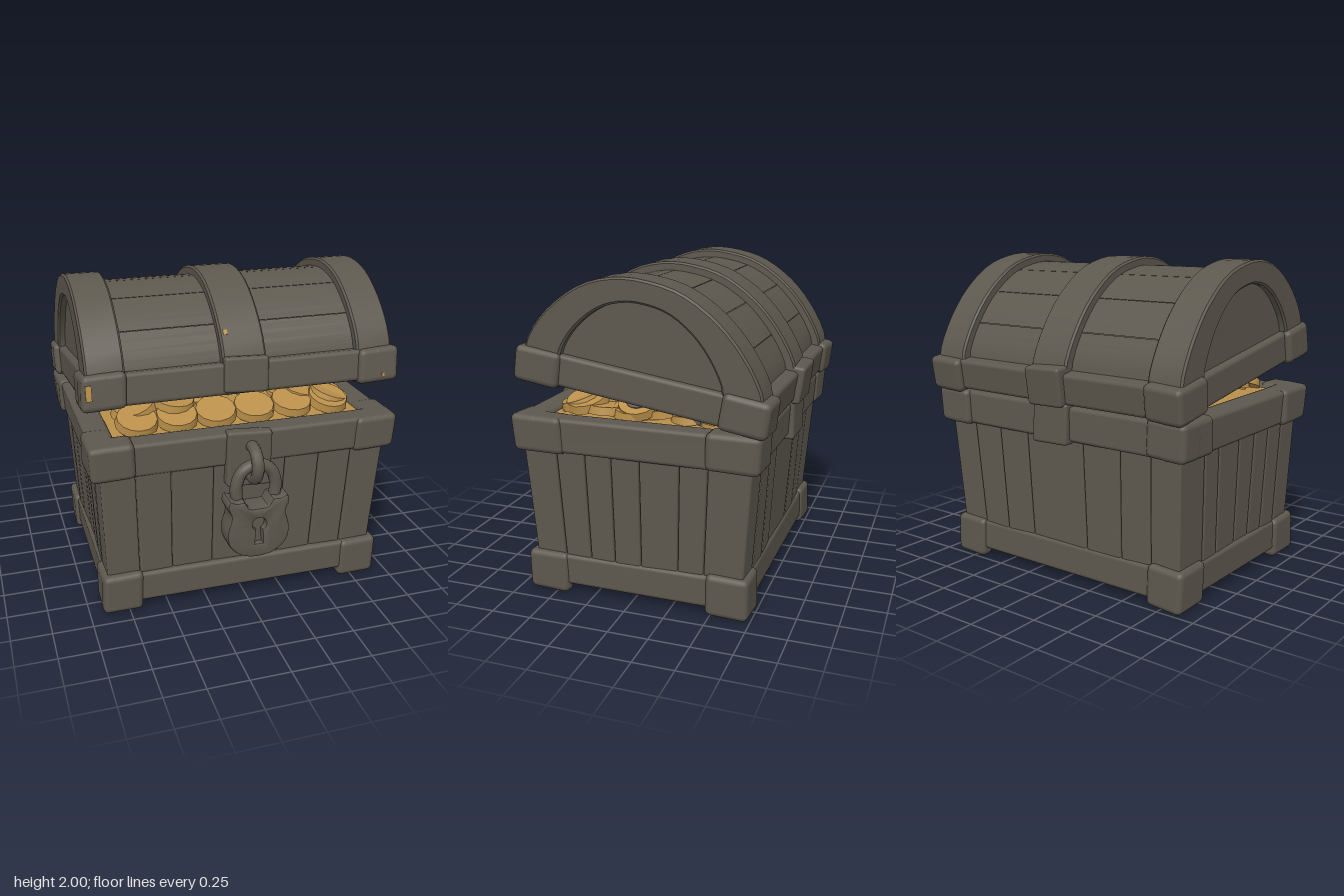
import * as THREE from 'three';
import { toCreasedNormals } from 'three/addons/utils/BufferGeometryUtils.js';
import { RoundedBoxGeometry } from 'three/addons/geometries/RoundedBoxGeometry.js';

const mat = (name, color) => Object.assign(new THREE.MeshStandardMaterial({ color }), { name });
const wood = mat('weatheredWood', 0x5d584e);
const gold = mat('gold', 0xb98f4a);
const dull = mat('tarnishedMetal', 0x675b56);
const Z0 = -0.04; // middle of the body in depth

let seed = 7;
const rand = () => (seed = (seed * 16807) % 2147483647) / 2147483647;

function add(parent, name, geo, material = wood) {
  const mesh = new THREE.Mesh(geo, material);
  mesh.name = name;
  parent.add(mesh);
  return mesh;
}

// Slightly uneven, hand-hewn surface
function wobble(geo, a = 0.006) {
  const p = geo.attributes.position;
  for (let i = 0; i < p.count; i++) {
    const x = p.getX(i), y = p.getY(i), z = p.getZ(i);
    p.setXYZ(i, x + a * Math.sin(9 * y + 7 * z), y + a * Math.sin(11 * x + 5 * z), z + a * Math.sin(8 * x + 6 * y));
  }
  return geo;
}

// Rounded box given by its bounds
function block(parent, name, x0, x1, y0, y1, z0, z1, r = 0.025, shape = null) {
  const w = x1 - x0, h = y1 - y0, d = z1 - z0;
  const geo = new RoundedBoxGeometry(w, h, d, 2, Math.min(r, w / 2.1, h / 2.1, d / 2.1));
  geo.translate((x0 + x1) / 2, (y0 + y1) / 2, (z0 + z1) / 2);
  if (shape) shape(geo);
  return add(parent, name, wobble(geo));
}

// The body widens towards the top
function flare(geo) {
  const p = geo.attributes.position;
  for (let i = 0; i < p.count; i++) {
    const t = p.getY(i) - 0.25;
    p.setX(i, p.getX(i) * (1 + 0.05 * t));
    p.setZ(i, Z0 + (p.getZ(i) - Z0) * (1 + 0.1 * t));
  }
}

// Boards on four sides with L-shaped corner pieces, open in the middle
function frame(parent, name, { x, z, zc, y0, y1, lift, inset, thick, cornerX, cornerZ, shape }) {
  const bx = x - inset, bz = z - inset, t = thick + inset;
  const span = (s, outer, inner, c = 0) => [c + s * outer, c + s * inner].sort((a, b) => a - b);
  for (const s of [-1, 1]) {
    block(parent, name + 'Board', -bx, bx, y0 + lift, y1 - 0.01, ...span(s, bz, bz - thick, zc), 0.025, shape);
    block(parent, name + 'SideBoard', ...span(s, bx, bx - thick), y0 + lift, y1 - 0.01, zc - bz, zc + bz, 0.025, shape);
    for (const f of [-1, 1]) {
      block(parent, name + 'Corner', ...span(s, x, x - cornerX), y0, y1, ...span(f, z, z - t, zc), 0.035, shape);
      block(parent, name + 'CornerSide', ...span(s, x, x - t), y0, y1, ...span(f, z, z - cornerZ, zc), 0.035, shape);
    }
  }
}

// Lid arch as (depth, height)
const arch = new THREE.CatmullRomCurve3([
  [0.725, 0.18], [0.705, 0.28], [0.605, 0.45], [0.41, 0.63], [0.2, 0.71], [0, 0.72],
  [-0.184, 0.69], [-0.403, 0.58], [-0.578, 0.426], [-0.707, 0.25], [-0.73, 0.18],
].map(([u, v]) => new THREE.Vector3(u, v, 0)));

// Curved piece of the lid between two scalings of the arch, from x0 to x1
function archPiece(parent, name, x0, x1, outer, inner, t0 = 0, t1 = 1) {
  const n = Math.max(4, Math.round(26 * (t1 - t0))), pts = [];
  const point = (t, [su, sv]) => {
    const p = arch.getPointAt(t);
    return new THREE.Vector2(0.015 + (p.x - 0.015) * su, 0.18 + (p.y - 0.18) * sv);
  };
  for (let i = 0; i <= n; i++) pts.push(point(t0 + (t1 - t0) * i / n, outer));
  if (inner) for (let i = n; i >= 0; i--) pts.push(point(t0 + (t1 - t0) * i / n, inner));
  const b = 0.012;
  const geo = new THREE.ExtrudeGeometry(new THREE.Shape(pts), {
    depth: x1 - x0 - 2 * b, bevelThickness: b, bevelSize: b, bevelOffset: -b, bevelSegments: 1,
  });
  geo.rotateY(-Math.PI / 2).translate(x1 - b, 0, 0);
  return add(parent, name, toCreasedNormals(geo, 0.5));
}

function buildBody() {
  const body = new THREE.Group();
  body.name = 'body';
  block(body, 'innerCore', -0.84, 0.84, 0.1, 1.06, Z0 - 0.63, Z0 + 0.63, 0.02, flare);
  // Upright planks, front and back, then the sides
  const fx = [-0.875, -0.67, -0.46, -0.2, 0.24, 0.46, 0.67, 0.875];
  const sz = [-0.665, -0.42, -0.26, -0.03, 0.14, 0.3, 0.47, 0.665];
  const g = 0.003;
  for (const s of [-1, 1]) {
    for (let i = 0; i < fx.length - 1; i++) {
      const c = Z0 + s * 0.635;
      block(body, 'frontBackPlank', fx[i] + g, fx[i + 1] - g, 0.15, 1.0, c - 0.03, c + 0.03, 0.012, flare);
    }
    for (let i = 0; i < sz.length - 1; i++) {
      const c = s * 0.845;
      block(body, 'sidePlank', c - 0.03, c + 0.03, 0.15, 1.0, Z0 + sz[i] + g, Z0 + sz[i + 1] - g, 0.012, flare);
    }
  }
  // Floor boards
  for (let i = 0; i < 6; i++) {
    const z = Z0 - 0.6 + i * 0.2;
    block(body, 'floorBoard', -0.82, 0.82, 0.08, 0.13, z + g, z + 0.2 - g, 0.012);
  }
  frame(body, 'baseTrim', { x: 0.912, z: 0.708, zc: -0.035, y0: 0.005, y1: 0.265, lift: 0.05, inset: 0.02, thick: 0.08, cornerX: 0.25, cornerZ: 0.265 });
  frame(body, 'topTrim', { x: 0.93, z: 0.708, zc: -0.046, y0: 0.925, y1: 1.157, lift: 0.005, inset: 0.022, thick: 0.15, cornerX: 0.26, cornerZ: 0.3, shape: flare });
  block(body, 'haspPlate', -0.14, 0.14, 0.8, 1.16, 0.65, 0.73, 0.02);
  block(body, 'hingePlate', -0.14, 0.13, 0.905, 1.16, -0.82, -0.73, 0.02);
  return body;
}

function buildLid() {
  const lid = new THREE.Group();
  lid.name = 'lid';
  frame(lid, 'lidRim', { x: 0.978, z: 0.775, zc: -0.01, y0: -0.01, y1: 0.205, lift: 0.012, inset: 0.033, thick: 0.14, cornerX: 0.26, cornerZ: 0.285 });
  archPiece(lid, 'lidLining', -0.86, 0.86, [0.905, 0.89], [0.86, 0.85]);
  // Long boards over the barrel
  const count = 7;
  for (let i = 0; i < count; i++)
    archPiece(lid, 'lidBoard', -0.86, 0.86, [0.92, 0.902], [0.88, 0.87], i / count + 0.001, (i + 1) / count - 0.001);
  for (const s of [-1, 1]) {
    const c = s * 0.833;
    archPiece(lid, 'endStrap', c - 0.115, c + 0.115, [1, 1], [0.68, 0.75]);
    archPiece(lid, 'endPanel', s * 0.87 - 0.03, s * 0.87 + 0.03, [0.85, 0.85], null);
  }
  archPiece(lid, 'middleStrap', -0.138, 0.132, [1.005, 1], [0.88, 0.87]);
  block(lid, 'strapFront', -0.138, 0.132, 0.015, 0.23, 0.65, 0.762, 0.02);
  block(lid, 'strapBack', -0.138, 0.132, -0.01, 0.23, -0.795, -0.66, 0.02);
  // Small flecks of gold on the front of the lid
  for (const [x, y, z, w, h, tilt] of [[-0.94, 0.105, 0.766, 0.035, 0.09, 0], [0.87, 0.04, 0.766, 0.02, 0.02, 0], [-0.1, 0.368, 0.663, 0.025, 0.03, -0.57]]) {
    const fleck = add(lid, 'goldFleck', new THREE.BoxGeometry(w, h, 0.009), gold);
    fleck.position.set(x, y, z);
    fleck.rotation.x = tilt;
  }
  lid.position.set(0, 1.265, -0.065);
  lid.rotation.x = -0.149;
  return lid;
}

function buildLock() {
  const lock = new THREE.Group();
  lock.name = 'padlock';
  const outline = [[0, 0.72], [0.06, 0.725], [0.09, 0.77], [0.14, 0.77], [0.18, 0.785], [0.195, 0.74], [0.172, 0.68],
    [0.198, 0.57], [0.182, 0.48], [0.11, 0.41], [0, 0.387]];
  const loop = [...outline, ...outline.slice(1, -1).reverse().map(([x, y]) => [-x, y])];
  const curve = new THREE.CatmullRomCurve3(loop.map(([x, y]) => new THREE.Vector3(x, y, 0)), true);
  const shape = new THREE.Shape(curve.getPoints(60).map(p => new THREE.Vector2(p.x, p.y)));
  // Keyhole
  const hole = new THREE.Path();
  hole.absarc(0.004, 0.61, 0.042, -1.1, Math.PI + 1.1, false);
  hole.lineTo(-0.019, 0.48);
  hole.lineTo(0.027, 0.48);
  hole.closePath();
  shape.holes.push(hole);
  const geo = new THREE.ExtrudeGeometry(shape, {
    depth: 0.12, bevelThickness: 0.02, bevelSize: 0.016, bevelOffset: -0.016, bevelSegments: 2,
  });
  add(lock, 'lockCase', toCreasedNormals(geo.translate(0, 0, 0.74), 0.6));
  block(lock, 'lockInside', -0.09, 0.09, 0.45, 0.69, 0.735, 0.84, 0.01);
  // Shackle
  const path = [[-0.115, 0.73], [-0.12, 0.85], [-0.08, 0.94], [0.005, 0.975], [0.09, 0.94], [0.127, 0.85], [0.12, 0.73]];
  const bow = new THREE.CatmullRomCurve3(path.map(([x, y]) => new THREE.Vector3(x, y, 0.795)));
  add(lock, 'shackle', new THREE.TubeGeometry(bow, 28, 0.038, 10));
  const ring = add(lock, 'staple', new THREE.TorusGeometry(0.1, 0.037, 10, 24));
  ring.rotation.y = Math.PI / 2;
  ring.position.set(-0.004, 0.97, 0.753);
  lock.position.x = 0.013;
  return lock;
}

function buildTreasure() {
  const hoard = new THREE.Group();
  hoard.name = 'treasure';
  const fill = add(hoard, 'goldFill', new THREE.BoxGeometry(1.66, 0.08, 1.24), gold);
  fill.position.set(0, 1.085, Z0);
  const coin = toCreasedNormals(new THREE.CylinderGeometry(0.125, 0.135, 0.05, 14), 0.5);
  const place = (name, material, x, y, z, rx, rz) => {
    const c = add(hoard, name, coin, material);
    c.position.set(x, y, z);
    c.rotation.set(rx, 0, rz);
  };
  // Front row leaning towards the viewer
  for (let i = 0; i < 6; i++)
    place('frontCoin', gold, -0.62 + i * 0.25, 1.18 + rand() * 0.015, 0.41, 0.25 + rand() * 0.1, (rand() - 0.5) * 0.2);
  // Overlapping rows behind, lower towards the back
  for (let row = 0; row < 5; row++)
    for (let i = 0; i < 7; i++)
      place('coin', gold, -0.63 + i * 0.21 + (rand() - 0.5) * 0.07, 1.165 - row * 0.008 + rand() * 0.03,
        0.24 - row * 0.18 + (rand() - 0.5) * 0.06, (rand() - 0.5) * 0.3, (rand() - 0.5) * 0.3);
  // A few coins heaped on top
  for (const [x, y, z, rx, rz] of [[-0.36, 1.24, 0.3, 0.15, -0.1], [-0.2, 1.225, 0.2, 0.2, 0.2], [-0.6, 1.215, 0.28, 0.15, 0.3], [0.5, 1.215, 0.28, 0.15, -0.15], [0.66, 1.2, 0.36, 0.1, -0.3]])
    place('topCoin', gold, x, y, z, rx, rz);
  // Tarnished coins near the back
  for (let i = 0; i < 3; i++) place('tarnishedCoin', dull, 0.62, 1.195 - i * 0.012, -0.34 - i * 0.1, 0, -0.3);
  // Coin leaning outwards with a tarnished face
  const leaning = new THREE.Group();
  leaning.name = 'leaningCoin';
  add(leaning, 'coinRim', coin, gold);
  add(leaning, 'coinFace', new THREE.CylinderGeometry(0.075, 0.075, 0.008, 14), dull).position.y = 0.027;
  leaning.position.set(0.66, 1.21, 0.02);
  leaning.rotation.z = -0.5;
  hoard.add(leaning);
  return hoard;
}

export function createModel() {
  const chest = new THREE.Group();
  chest.name = 'treasureChest';
  chest.add(buildBody(), buildLid(), buildLock(), buildTreasure());
  return chest;
}
